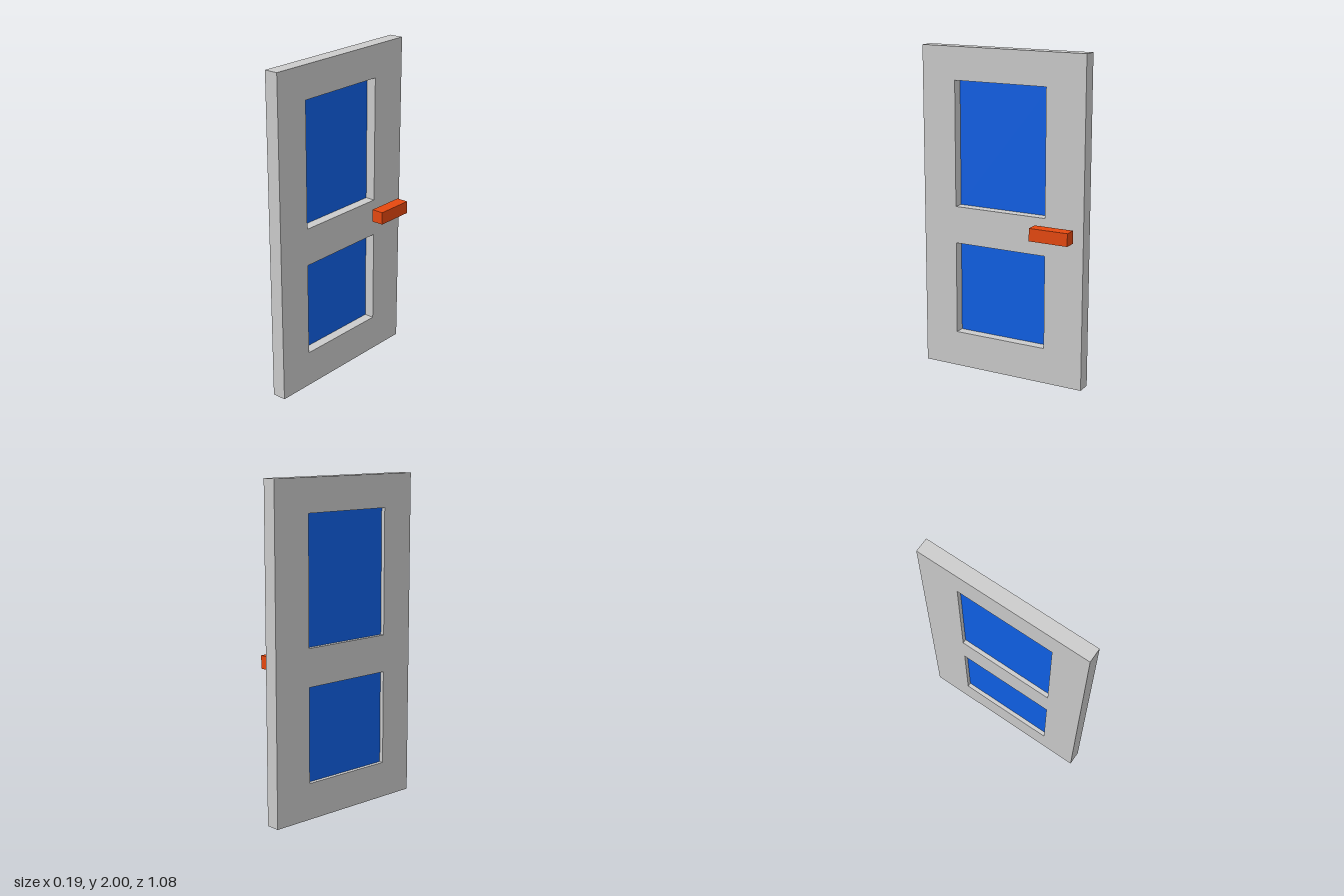
import * as THREE from 'three';

// Door lies in the z-y plane; its thickness runs along x.
const FACE_X = -0.01, THICKNESS = 0.087, GLASS_X = -0.072;
const WINDOWS = [
  { name: 'upperPane', z0: -0.29, z1: 0.317, y0: 1.03, y1: 1.8 },
  { name: 'lowerPane', z0: -0.29, z1: 0.317, y0: 0.222, y1: 0.8 },
];

function rectangle(target, z0, z1, y0, y1) {
  target.moveTo(z0, y0);
  target.lineTo(z1, y0);
  target.lineTo(z1, y1);
  target.lineTo(z0, y1);
  target.closePath();
  return target;
}

export function createModel() {
  const group = new THREE.Group();
  group.name = 'door';
  const add = (name, geometry, material) => {
    const mesh = new THREE.Mesh(geometry, material);
    mesh.name = name;
    group.add(mesh);
    return mesh;
  };

  const grey = new THREE.MeshStandardMaterial({ color: 0xcccccc });
  const blue = new THREE.MeshStandardMaterial({ color: 0x0f60e6, side: THREE.DoubleSide });
  const orange = new THREE.MeshStandardMaterial({ color: 0xe6480f });

  // Door leaf with two window openings
  const leaf = rectangle(new THREE.Shape(), -0.539, 0.539, 0, 2);
  for (const w of WINDOWS) leaf.holes.push(rectangle(new THREE.Path(), w.z0, w.z1, w.y0, w.y1));
  const leafGeometry = new THREE.ExtrudeGeometry(leaf, { depth: THICKNESS, bevelEnabled: false });
  leafGeometry.rotateY(-Math.PI / 2);
  add('doorLeaf', leafGeometry, grey).position.x = FACE_X;

  // Thin panes set towards the far side of the openings
  for (const w of WINDOWS) {
    const pane = new THREE.PlaneGeometry(w.z1 - w.z0, w.y1 - w.y0).rotateY(Math.PI / 2);
    add(w.name, pane, blue).position.set(GLASS_X, (w.y0 + w.y1) / 2, (w.z0 + w.z1) / 2);
  }

  // Bar handle, standing clear of the leaf
  add('handle', new THREE.BoxGeometry(0.076, 0.078, 0.247), orange).position.set(0.058, 0.95, -0.363);

  return group;
}
